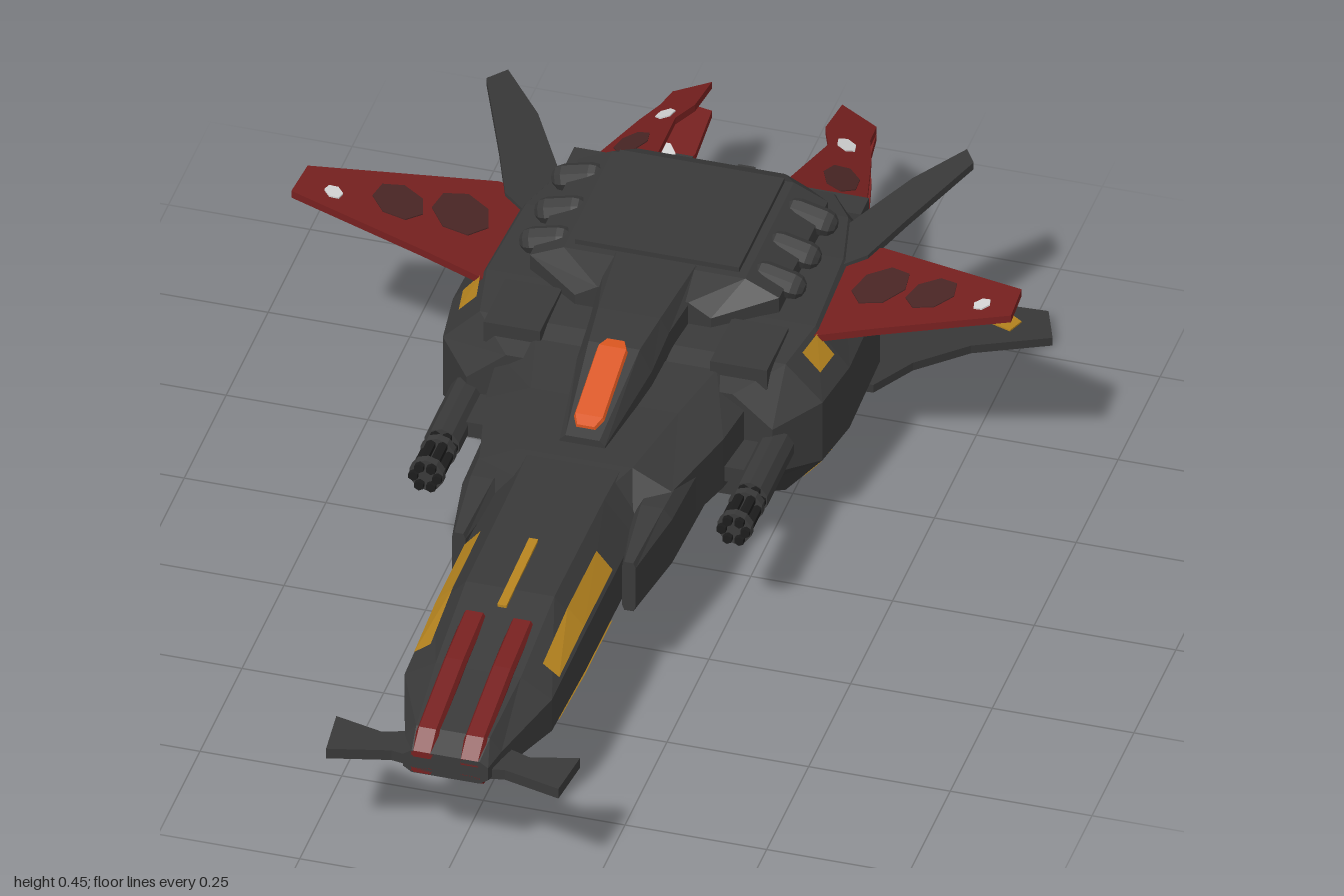
import * as THREE from 'three';

const mat = (name, color, side = THREE.FrontSide) => {
  const m = new THREE.MeshStandardMaterial({ color, side, flatShading: true });
  m.name = name;
  return m;
};

export function createModel() {
  const model = new THREE.Group();
  model.name = 'starfighter';
  const hullGrey = mat('hullGrey', 0x393939);
  const black = mat('black', 0x1c1c1c);
  const red = mat('red', 0x76201f);
  const darkRed = mat('darkRed', 0x4a2625);
  const amber = mat('amber', 0xb6841f, THREE.DoubleSide);
  const orange = mat('orange', 0xd8551f);
  const white = mat('white', 0xd6d6d6);

  const add = (name, geo, material, x = 0, y = 0, z = 0) => {
    const mesh = new THREE.Mesh(geo, material);
    mesh.name = name;
    mesh.position.set(x, y, z);
    model.add(mesh);
    return mesh;
  };
  const box = (name, w, h, d, m, x, y, z) => add(name, new THREE.BoxGeometry(w, h, d), m, x, y, z);

  // Octagonal loft; each section is [z, halfWidth, topHalfWidth, y0, y1, sideY0, sideY1], front to back
  const ring = ([z, hw, tw, y0, y1, s0 = y0 + 0.01, s1 = y1 - 0.01], cx) => [
    [hw, s0], [hw, s1], [tw, y1], [-tw, y1], [-hw, s1], [-hw, s0], [-tw, y0], [tw, y0],
  ].map(([x, y]) => [x + cx, y, z]);
  const loft = (name, sections, m, cx = 0) => {
    const rings = sections.map((s) => ring(s, cx));
    const pos = [];
    const tri = (...p) => p.forEach((v) => pos.push(...v));
    for (let k = 0; k < rings.length - 1; k++) {
      for (let i = 0; i < 8; i++) {
        const j = (i + 1) % 8, A = rings[k], B = rings[k + 1];
        tri(A[i], B[i], B[j]);
        tri(A[i], B[j], A[j]);
      }
    }
    const f = rings[0], b = rings[rings.length - 1];
    for (let i = 1; i < 7; i++) {
      tri(f[0], f[i], f[i + 1]);
      tri(b[0], b[i + 1], b[i]);
    }
    const geo = new THREE.BufferGeometry();
    geo.setAttribute('position', new THREE.Float32BufferAttribute(pos, 3));
    geo.computeVertexNormals();
    return add(name, geo, m, 0, 0, 0);
  };

  // Thin plate with an x-z outline, its height given by rule(|x|, z)
  const plate = (name, pts, side, t, rule, m) => {
    const shape = new THREE.Shape(pts.map(([x, z]) => new THREE.Vector2(x * side, z)));
    const geo = new THREE.ExtrudeGeometry(shape, { depth: t, bevelEnabled: false });
    geo.rotateX(Math.PI / 2);
    const p = geo.attributes.position;
    for (let i = 0; i < p.count; i++) {
      p.setY(i, p.getY(i) + t / 2 + rule(Math.abs(p.getX(i)), p.getZ(i)));
    }
    geo.computeVertexNormals();
    return add(name, geo, m);
  };
  const blob = (cx, cz, rx, rz, n = 7) => Array.from({ length: n }, (_, i) => {
    const a = (i / n) * Math.PI * 2 + 0.3;
    return [cx + rx * Math.cos(a), cz + rz * Math.sin(a)];
  });

  // Painted strip on the upper or lower chamfer of a loft, from u0 to u1 across it
  const chamferStrip = (name, sections, zs, u0, u1, side, up) => {
    const at = (z, u) => {
      const k = Math.max(1, sections.findIndex((s) => s[0] <= z));
      const A = sections[k - 1], B = sections[k], t = (z - A[0]) / (B[0] - A[0]);
      const s = A.map((v, i) => v + (B[i] - v) * t);
      const [yo, yi] = up > 0 ? [s[6], s[4]] : [s[5], s[3]];
      return [side * (s[1] + (s[2] - s[1]) * u + 0.004), yo + (yi - yo) * u + up * 0.004, z];
    };
    const pos = [];
    for (let i = 0; i < zs.length - 1; i++) {
      const q = [at(zs[i], u0), at(zs[i + 1], u0), at(zs[i + 1], u1), at(zs[i], u1)];
      const order = side * up > 0 ? [0, 1, 2, 0, 2, 3] : [0, 2, 1, 0, 3, 2];
      order.forEach((n) => pos.push(...q[n]));
    }
    const geo = new THREE.BufferGeometry();
    geo.setAttribute('position', new THREE.Float32BufferAttribute(pos, 3));
    geo.computeVertexNormals();
    add(name, geo, amber);
  };

  // Main bodies
  const nose = [
    [0.975, 0.075, 0.06, 0.205, 0.25, 0.215, 0.24],
    [0.93, 0.085, 0.065, 0.185, 0.27, 0.21, 0.245],
    [0.78, 0.13, 0.075, 0.158, 0.295, 0.195, 0.26],
    [0.59, 0.133, 0.078, 0.12, 0.333, 0.19, 0.27],
    [0.3, 0.133, 0.08, 0.12, 0.335, 0.19, 0.27],
    [-0.12, 0.15, 0.09, 0.12, 0.335, 0.19, 0.27],
  ];
  const hull = [
    [-0.06, 0.27, 0.2, 0.12, 0.33, 0.18, 0.27],
    [-0.14, 0.335, 0.27, 0.09, 0.352, 0.165, 0.285],
    [-0.25, 0.35, 0.29, 0.085, 0.36, 0.16, 0.285],
    [-0.45, 0.345, 0.28, 0.085, 0.36, 0.16, 0.285],
    [-0.58, 0.305, 0.25, 0.09, 0.35, 0.16, 0.285],
    [-0.66, 0.265, 0.2, 0.11, 0.335, 0.16, 0.28],
  ];
  loft('noseFuselage', nose, hullGrey);
  loft('mainHull', hull, hullGrey);
  loft('neckShoulder', [
    [0.28, 0.125, 0.07, 0.2, 0.33, 0.22, 0.27], [0.2, 0.17, 0.1, 0.19, 0.336, 0.21, 0.3],
    [0.03, 0.21, 0.13, 0.17, 0.338, 0.2, 0.3], [-0.1, 0.225, 0.16, 0.165, 0.345, 0.19, 0.3]], hullGrey);
  loft('cockpitFairing', [
    [0.16, 0.04, 0.03, 0.31, 0.35], [-0.03, 0.066, 0.045, 0.31, 0.412, 0.32, 0.37],
    [-0.12, 0.07, 0.055, 0.31, 0.418, 0.32, 0.39], [-0.28, 0.09, 0.07, 0.31, 0.42, 0.32, 0.4]], hullGrey);
  loft('canopy', [
    [0.14, 0.018, 0.015, 0.345, 0.362], [0.12, 0.028, 0.024, 0.35, 0.37],
    [-0.02, 0.028, 0.024, 0.39, 0.416], [-0.04, 0.018, 0.015, 0.39, 0.417]], orange);
  loft('upperDeck', [
    [-0.2, 0.12, 0.08, 0.34, 0.4, 0.35, 0.375], [-0.27, 0.22, 0.16, 0.34, 0.418, 0.35, 0.39],
    [-0.56, 0.22, 0.16, 0.34, 0.418, 0.35, 0.39], [-0.61, 0.17, 0.13, 0.33, 0.395, 0.34, 0.375]], hullGrey);
  box('deckPanel', 0.29, 0.015, 0.27, hullGrey, 0, 0.42, -0.42);
  loft('belly', [
    [-0.15, 0.1, 0.08, 0.085, 0.14], [-0.19, 0.105, 0.1, 0.06, 0.14],
    [-0.5, 0.105, 0.1, 0.06, 0.14], [-0.64, 0.09, 0.08, 0.1, 0.14]], hullGrey);

  // Ribs across the underside of the neck
  for (const z of [0.13, 0.02, -0.1]) {
    const rib = add('bellyRib', new THREE.CapsuleGeometry(0.022, 0.17, 3, 8), hullGrey, 0, 0.127, z);
    rib.rotation.z = Math.PI / 2;
  }

  // Painted stripe along the nose top
  box('noseCentreStripe', 0.016, 0.005, 0.19, amber, 0, 0.335, 0.545).rotation.x = 0.04;

  // Engine block with four nozzles
  box('engineBlock', 0.18, 0.21, 0.08, hullGrey, 0, 0.235, -0.635);
  box('engineRecess', 0.15, 0.17, 0.006, black, 0, 0.23, -0.676);
  for (const x of [-0.038, 0.038]) {
    for (const y of [0.19, 0.27]) {
      const nozzle = add('engineNozzle', new THREE.CylinderGeometry(0.034, 0.03, 0.03, 10), hullGrey, x, y, -0.688);
      nozzle.rotation.x = -Math.PI / 2;
      const glow = add('engineGlow', new THREE.CylinderGeometry(0.018, 0.018, 0.006, 8), white, x, y, -0.703);
      glow.rotation.x = Math.PI / 2;
    }
  }
  for (const x of [-0.055, 0.055]) box('deckExhaust', 0.03, 0.04, 0.07, hullGrey, x, 0.36, -0.6);

  const wingY = (x) => 0.345 + (x - 0.29) * 0.29;
  const lowerY = (x) => 0.11 - (x - 0.28) * 0.37;
  const finY = (x) => 0.348 + (x - 0.28) * 0.33;
  const canardY = (x) => 0.22 + (x - 0.08) * 0.06;

  for (const s of [1, -1]) {
    // Upper swept wings with camouflage patches
    plate('upperWing', [[0.27, -0.5], [0.34, -0.49], [0.63, -0.33], [0.635, -0.25], [0.4, -0.24], [0.27, -0.23]], s, 0.014, wingY, red);
    plate('wingPatch', blob(0.37, -0.37, 0.05, 0.055), s, 0.018, wingY, darkRed);
    plate('wingPatch', blob(0.47, -0.335, 0.045, 0.045), s, 0.018, wingY, darkRed);
    plate('wingMark', blob(0.572, -0.29, 0.016, 0.016, 6), s, 0.02, wingY, white);

    // Lower wings and small upper fins
    plate('lowerWing', [[0.26, -0.42], [0.33, -0.46], [0.37, -0.56], [0.44, -0.67], [0.55, -0.785], [0.525, -0.845], [0.36, -0.755], [0.3, -0.66], [0.24, -0.6]], s, 0.016, lowerY, hullGrey);
    plate('lowerWingMark', [[0.415, -0.785], [0.435, -0.745], [0.485, -0.75], [0.495, -0.785], [0.46, -0.795]], s, 0.022, lowerY, amber);
    plate('upperFin', [[0.25, -0.42], [0.32, -0.46], [0.36, -0.56], [0.43, -0.72], [0.405, -0.765], [0.33, -0.69], [0.25, -0.56]], s, 0.014, finY, hullGrey);

    // Canards beside the nose tip
    plate('canard', [[0.05, 0.88], [0.13, 0.915], [0.215, 0.9], [0.205, 0.995], [0.1, 0.96], [0.05, 0.965]], s, 0.02, canardY, hullGrey);

    // Vent tubes on the deck edge
    for (const z of [-0.51, -0.41, -0.32]) {
      const vent = add('deckVent', new THREE.CapsuleGeometry(0.024, 0.05, 3, 8), hullGrey, s * 0.205, 0.39, z);
      vent.rotation.z = Math.PI / 2 - s * 0.25;
    }
    box('shoulderBlock', 0.1, 0.04, 0.13, hullGrey, s * 0.2, 0.345, -0.16);
    loft('neckPod', [
      [0.39, 0.012, 0.008, 0.18, 0.28], [0.25, 0.035, 0.02, 0.165, 0.3, 0.19, 0.28],
      [-0.1, 0.045, 0.03, 0.16, 0.3, 0.19, 0.28]], hullGrey, s * 0.15);

    // Rotary cannon
    const cyl = (name, r, l, x, y, z, m = hullGrey, n = 10) => {
      add(name, new THREE.CylinderGeometry(r, r, l, n), m, x, y, z).rotation.x = Math.PI / 2;
    };
    cyl('cannonBody', 0.032, 0.16, s * 0.272, 0.225, 0);
    for (const z of [0.1, 0.165]) cyl('cannonClamp', 0.031, 0.015, s * 0.272, 0.225, z);
    for (let i = 0; i < 6; i++) {
      const a = (i * Math.PI) / 3;
      cyl('cannonBarrel', 0.009, 0.12, s * 0.272 + 0.021 * Math.cos(a), 0.225 + 0.021 * Math.sin(a), 0.122, black, 6);
    }
    box('cannonMount', 0.06, 0.03, 0.09, hullGrey, s * 0.225, 0.225, -0.02);
    box('tailRoot', 0.14, 0.2, 0.05, hullGrey, s * 0.19, 0.23, -0.645);

    for (const up of [1, -1]) {
      // Tail blades closing toward the back
      const bladeY = (x, z) => 0.23 + up * (0.105 - (x - 0.115) * 0.4 + ((z + 0.66) / 0.34) * 0.075);
      plate('tailBlade', [[0.115, -1], [0.18, -0.985], [0.185, -0.93], [0.205, -0.87], [0.255, -0.66], [0.115, -0.66], [0.135, -0.85], [0.115, -0.9]], s, 0.014, bladeY, red);
      plate('bladePatch', blob(0.185, -0.76, 0.03, 0.045), s, 0.018, bladeY, darkRed);
      plate('bladeMark', blob(0.16, -0.875, 0.017, 0.02, 6), s, 0.02, bladeY, white);

      // Red ridges over and under the nose
      const ridge = [[0.975, 0.01, 0.022], [0.94, 0.02, 0.048], [0.78, 0.06, 0.082], [0.66, 0.08, 0.098]];
      loft('noseRidge', ridge.map(([z, a, b]) => (up > 0
        ? [z, 0.02, 0.015, 0.228 + a, 0.228 + b] : [z, 0.02, 0.015, 0.228 - b, 0.228 - a])), red, s * 0.042);

      // Amber paint on the chamfers
      chamferStrip('noseSideStripe', nose, [0.73, 0.59, 0.42], 0.12, 0.65, s, up);
      chamferStrip('hullMark', hull, [-0.18, -0.235], 0.4, 0.9, s, up);
    }
  }
  return model;
}
